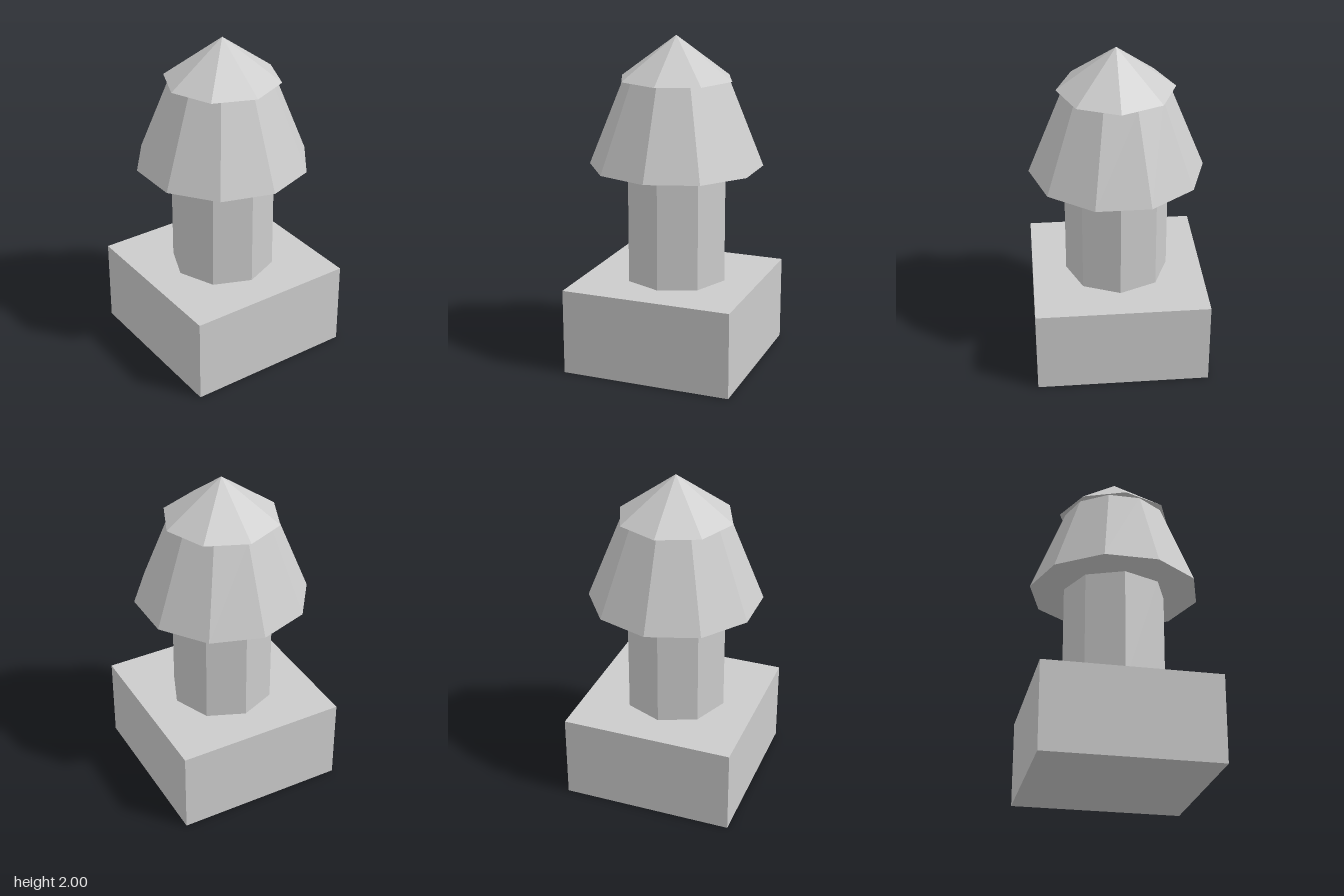
import * as THREE from 'three';

export function createModel() {
  const group = new THREE.Group();
  const stone = new THREE.MeshStandardMaterial({ color: 0xcccccc, flatShading: true });
  stone.name = 'pale grey stone';

  function add(name, geometry, bottom, height) {
    const mesh = new THREE.Mesh(geometry, stone);
    mesh.name = name;
    mesh.position.y = bottom + height / 2;
    group.add(mesh);
  }
  // Faceted tier standing on the given height
  const tier = (name, rTop, rBottom, bottom, height, sides) =>
    add(name, new THREE.CylinderGeometry(rTop, rBottom, height, sides), bottom, height);

  // Square plinth
  add('base', new THREE.BoxGeometry(1.044, 0.522, 1.044), 0, 0.522);
  // Octagonal shaft
  tier('column', 0.313, 0.313, 0.522, 0.7, 8);
  // Ten-sided flared hood
  tier('lowerRoof', 0.313, 0.522, 1.222, 0.522, 10);
  // Octagonal pointed cap
  add('roofCap', new THREE.ConeGeometry(0.348, 0.256, 8), 1.744, 0.256);

  return group;
}
